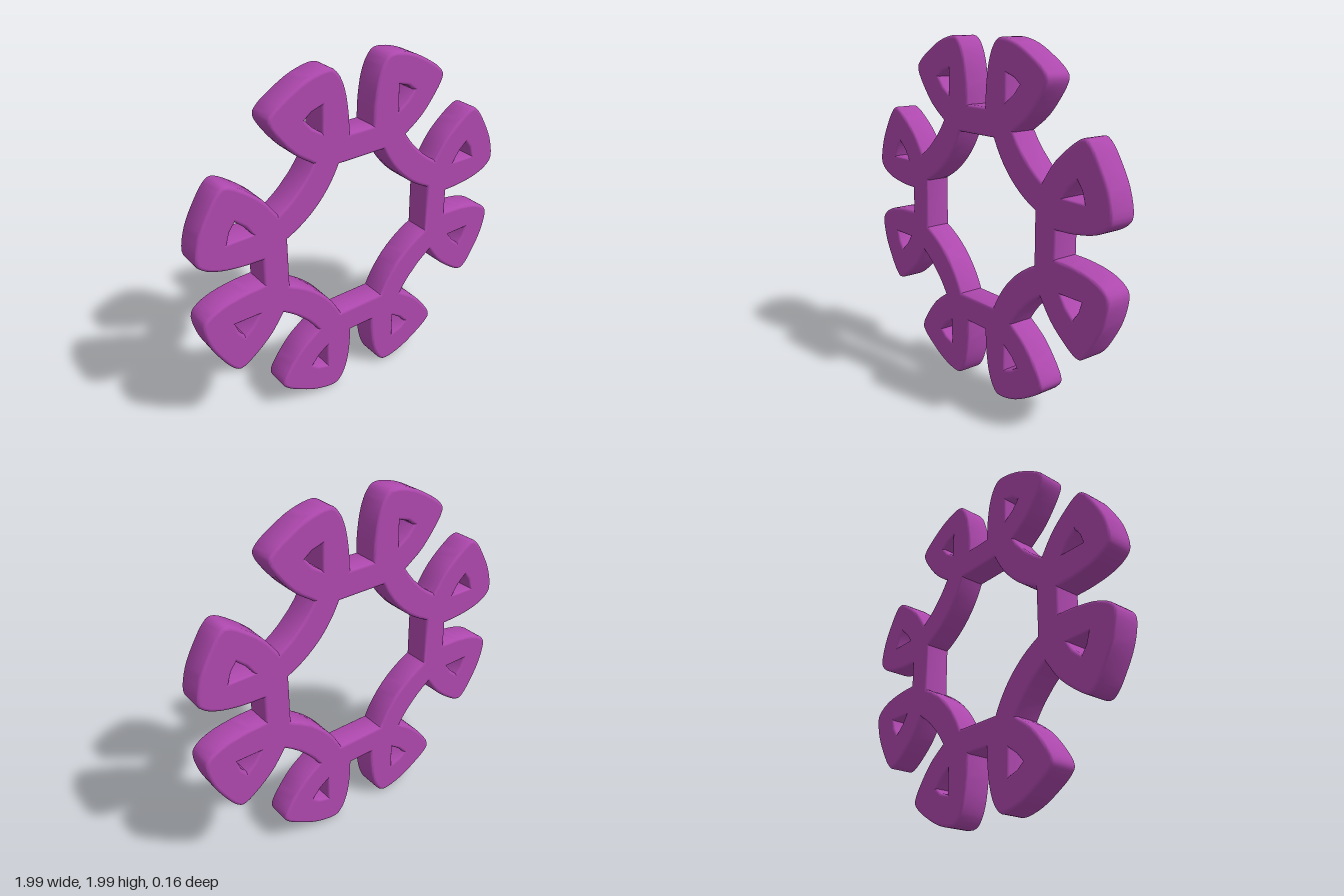
import * as THREE from 'three';
import { toCreasedNormals } from 'three/addons/utils/BufferGeometryUtils.js';

const v = (x, y) => new THREE.Vector2(x, y);
const swap = p => v(p.y, p.x);                      // mirror across the diagonal
const withMirror = pts => [...pts, ...pts.map(swap).reverse()];
const quarterTurn = (pts, k) => pts.map(p => p.clone().rotateAround(v(0, 0), -k * Math.PI / 2));

// Repeat one quadrant's points four times around the centre, clockwise
const fourTimes = pts => [0, 1, 2, 3].flatMap(k => quarterTurn(pts, k));

// Make the flat front and back faces shade as true planes
function flattenCaps(geometry, halfDepth) {
  const pos = geometry.attributes.position, nor = geometry.attributes.normal;
  for (let i = 0; i < pos.count; i += 3) {
    const corners = [i, i + 1, i + 2], side = Math.sign(pos.getZ(i));
    if (corners.every(j => Math.abs(pos.getZ(j) - side * halfDepth) < 1e-5)) {
      for (const j of corners) nor.setXYZ(j, 0, 0, side);
    }
  }
}

export function createModel() {
  const group = new THREE.Group();
  group.name = 'loopedRing';
  const material = new THREE.MeshStandardMaterial({ color: 0xae48ae });

  // Outline of one petal, from the straight bar to the diagonal arm
  const petal = new THREE.SplineCurve([
    v(0.074, 0.63), v(0.079, 0.74), v(0.1, 0.865), v(0.14, 0.955), v(0.2, 0.994),
    v(0.33, 0.966), v(0.455, 0.9), v(0.53, 0.845), v(0.552, 0.797),
    v(0.51, 0.718), v(0.415, 0.605), v(0.303, 0.523)
  ]).getPoints(44);
  // Outer edge of the arm, bowing slightly inward up to the diagonal
  const armEdge = [v(0.335, 0.477), v(0.368, 0.436)];
  // Counterclockwise, so that the windings of all openings are set to match
  const shape = new THREE.Shape(fourTimes(withMirror([...petal, ...armEdge, v(0.402, 0.402)])
    .filter((p, i, all) => i === 0 || p.distanceTo(all[i - 1]) > 1e-6)).reverse());

  // Central opening: straight bars joined by arms that bow inward
  const arm = new THREE.QuadraticBezierCurve(v(0.145, 0.475), v(0.25, 0.25), v(0.475, 0.145));
  shape.holes.push(new THREE.Path(fourTimes(arm.getPoints(16))));

  // Small three-cornered window in each petal
  const window = [v(0.247, 0.815), v(0.305, 0.795), v(0.345, 0.765), v(0.3, 0.715), v(0.247, 0.675)];
  for (let k = 0; k < 4; k++) {
    for (const pts of [window, window.map(swap)]) {
      shape.holes.push(new THREE.Path(quarterTurn(pts, k)));
    }
  }

  // Thick plate with softly rounded edges
  const bevel = 0.018, depth = 0.16;
  const plate = new THREE.ExtrudeGeometry(shape, {
    depth: depth - 2 * bevel, curveSegments: 1, bevelEnabled: true,
    bevelSize: bevel, bevelThickness: bevel, bevelOffset: -bevel, bevelSegments: 4
  });
  plate.translate(0, 1, -depth / 2 + bevel);
  const smooth = toCreasedNormals(plate, 0.6);
  flattenCaps(smooth, depth / 2);
  const mesh = new THREE.Mesh(smooth, material);
  mesh.name = 'petalRing';
  group.add(mesh);
  return group;
}
